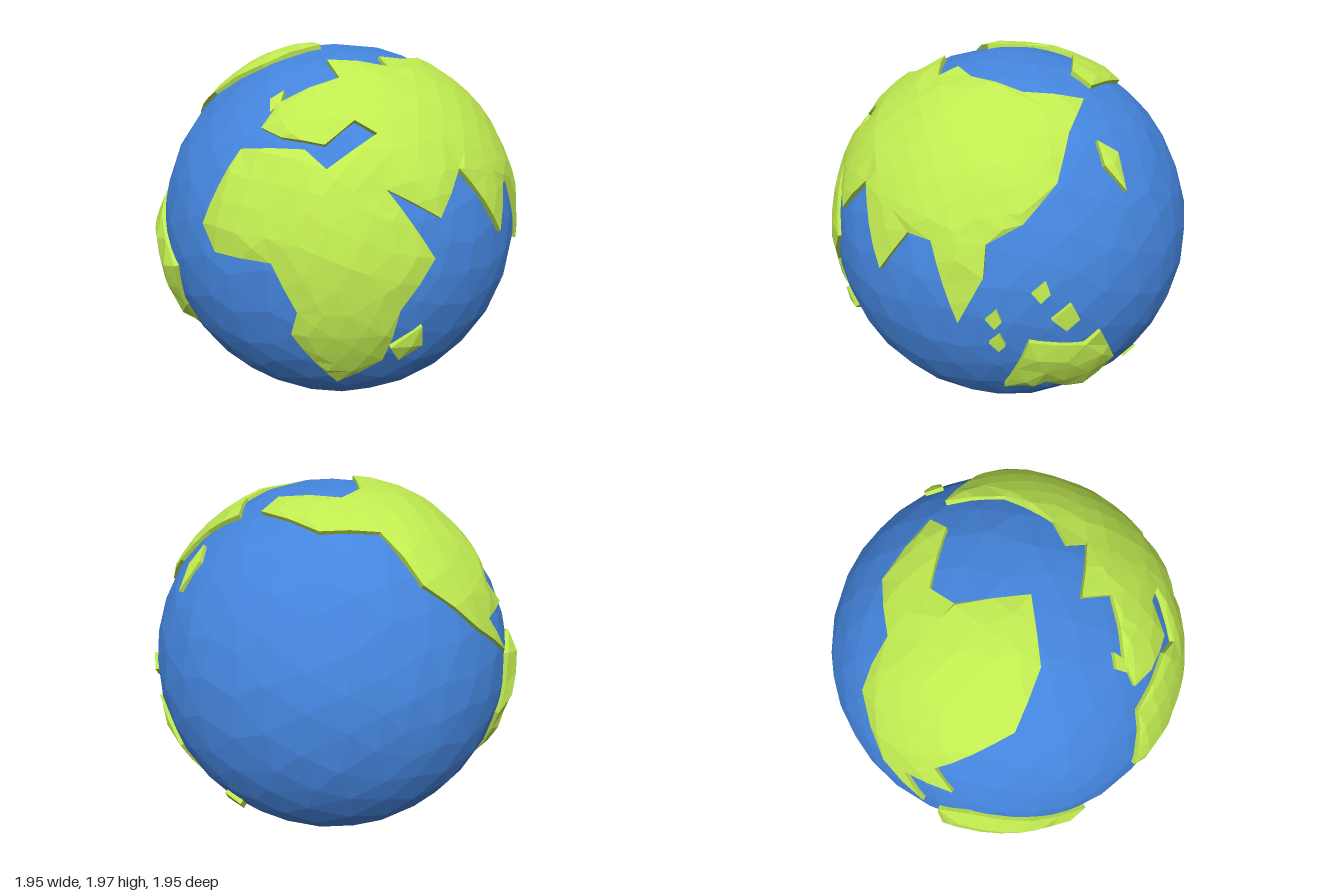
import * as THREE from 'three';

const R = 0.97; // ocean radius
const seaMat = new THREE.MeshStandardMaterial({ color: 0x4484dc, flatShading: true });
const landMat = new THREE.MeshStandardMaterial({ color: 0xc0ea50, flatShading: true });

// Point on the unit globe at u,v (hundredths from its centre) facing a given azimuth and elevation
const facing = (az, el) => (...uv) => {
  const a = THREE.MathUtils.degToRad(az), e = THREE.MathUtils.degToRad(el), points = [];
  for (let i = 0; i < uv.length; i += 2) {
    const u = uv[i] / 100, v = uv[i + 1] / 100;
    const w = Math.sqrt(Math.max(0, R * R - u * u - v * v));
    const d = w * Math.cos(e) - v * Math.sin(e);
    points.push(new THREE.Vector3(u * Math.cos(a) + d * Math.sin(a), v * Math.cos(e) + w * Math.sin(e),
      -u * Math.sin(a) + d * Math.cos(a)).normalize());
  }
  return points;
};
const front = facing(0, 0), east = facing(90, 0), top = facing(0, 90), bottom = facing(0, -90);
const pacific = facing(-140, 25), southEast = facing(140, -25);

// Smooth repeatable bumps in -1..1
const bump = (p) => (Math.sin(p.x * 13 + p.y * 7) + Math.sin(p.y * 17 - p.z * 9) + Math.sin(p.z * 15 + p.x * 11)) / 3;

// Triangle mesh over a coastline: fill, bisect long edges, then flip edges to even out the triangles
function meshLand(points) {
  const mid = new THREE.Vector3();
  points.forEach((p) => mid.add(p));
  const q = new THREE.Quaternion().setFromUnitVectors(mid.normalize(), new THREE.Vector3(0, 0, 1));
  const flat = (p) => {
    const t = p.clone().applyQuaternion(q);
    return new THREE.Vector2(t.x / (1 + t.z), t.y / (1 + t.z));
  };
  if (THREE.ShapeUtils.isClockWise(points.map(flat))) points.reverse();
  const verts = [...points], tris = [], mids = new Map();
  const midpoint = (a, b) => {
    const key = Math.min(a, b) + '_' + Math.max(a, b);
    if (!mids.has(key)) mids.set(key, verts.push(verts[a].clone().add(verts[b]).normalize()) - 1);
    return mids.get(key);
  };
  const refine = (a, b, c) => {
    const ab = verts[a].distanceTo(verts[b]), bc = verts[b].distanceTo(verts[c]), ca = verts[c].distanceTo(verts[a]);
    const longest = Math.max(ab, bc, ca);
    if (longest < 0.19) tris.push([a, b, c]);
    else if (longest === bc) refine(b, c, a);
    else if (longest === ca) refine(c, a, b);
    else {
      const m = midpoint(a, b);
      refine(a, m, c);
      refine(m, b, c);
    }
  };
  THREE.ShapeUtils.triangulateShape(points.map(flat), []).forEach((t) => refine(...t));

  const edgeMap = () => {
    const edges = new Map();
    tris.forEach(([a, b, c], i) => {
      for (const [s, t, o] of [[a, b, c], [b, c, a], [c, a, b]]) edges.set(s + '_' + t, [i, s, t, o]);
    });
    return edges;
  };
  const angle = (o, a, b) => verts[a].clone().sub(verts[o]).angleTo(verts[b].clone().sub(verts[o]));
  for (let pass = 0, changed = true; changed && pass < 60; pass++) {
    changed = false;
    const edges = edgeMap(), used = new Set();
    for (const [i, a, b, c] of edges.values()) {
      const twin = edges.get(b + '_' + a);
      if (!twin || used.has(i) || used.has(twin[0])) continue;
      const d = twin[3];
      if (angle(c, a, b) + angle(d, a, b) < Math.PI + 0.01) continue;
      tris[i] = [a, d, c];
      tris[twin[0]] = [d, b, c];
      used.add(i).add(twin[0]);
      changed = true;
    }
  }
  const edges = edgeMap();
  const rim = [...edges.values()].filter(([, a, b]) => !edges.has(b + '_' + a)).map(([, a, b]) => [a, b]);
  return { verts, tris, rim };
}

// Raised plate of land with walls running down below the water
function land(name, height, ...coast) {
  const { verts, tris, rim } = meshLand(coast.flat());
  const onRim = new Set(rim.flat());
  const upper = verts.map((p, i) => p.clone().multiplyScalar(R + (onRim.has(i) ? 0.02 : height) + 0.006 * bump(p)));
  const base = verts.map((p) => p.clone().multiplyScalar(R - 0.03));
  const corners = tris.flatMap((t) => t.map((i) => upper[i]));
  for (const [a, b] of rim) corners.push(base[a], base[b], upper[b], base[a], upper[b], upper[a]);
  const geo = new THREE.BufferGeometry().setFromPoints(corners);
  geo.computeVertexNormals();
  const mesh = new THREE.Mesh(geo, landMat);
  mesh.name = name;
  return mesh;
}

// Small kite-shaped island
const island = (name, view, u, v, size) =>
  land(name, 0.03, view(u + size * 0.2, v + size, u - size * 0.7, v, u, v - size, u + size * 0.6, v - size * 0.2));

// Faceted ocean ball with slightly uneven triangles
function ocean() {
  const geo = new THREE.IcosahedronGeometry(1, 5);
  const pos = geo.attributes.position, p = new THREE.Vector3();
  for (let i = 0; i < pos.count; i++) {
    p.fromBufferAttribute(pos, i);
    const { x, y, z } = p;
    p.x += 0.025 * Math.sin(y * 23 + z * 17);
    p.y += 0.025 * Math.sin(z * 21 + x * 19);
    p.z += 0.025 * Math.sin(x * 25 + y * 15);
    p.setLength(R + 0.003);
    pos.setXYZ(i, p.x, p.y, p.z);
  }
  geo.computeVertexNormals();
  const mesh = new THREE.Mesh(geo, seaMat);
  mesh.name = 'ocean';
  return mesh;
}

export function createModel() {
  const globe = new THREE.Group();
  globe.name = 'globe';
  globe.add(
    ocean(),
    land('africaEuropeAsia', 0.03,
      front(-4, 56, -17, 23, -8, 12, 21, 12, 32, -10, 28, -22, 40, -54, 61, -39, 70, -10, 80, 12),
      east(-63, 43, -48, 29, -30, 47, -12, 14, 2, 34, 14, 33, 28, -3, 38, 20, 37, 34, 49, 42, 56, 56),
      top(38, 52, 18, 49, 35, 27, 36, 0, 29, -12, 37, -18, 12, -32, 24, -41, 5, -62),
      front(2, 65, 14, 62, 33, 60, 40, 69, 50, 64, 37, 51, 26, 58)),
    land('northAmerica', 0.03,
      top(5, 47, 4, 36, -24, 23, -24, 9, -2, -15, -23, -36, -49, -42),
      front(-80, 51),
      pacific(84, 23, 73, 12, 84, -2, 66, 6, 38, 24, 20, 49),
      top(-30, 47)),
    land('southAmerica', 0.055, front(-92, 14, -85, 21, -69, 11, -44, -7, -47, -33, -53, -76, -69, -60, -92, -19)),
    land('australia', 0.035, southEast(10, 29, 23, 3, 13, -23, -12, -5, -31, -8, -24, 28, 3, 23)),
    land('antarctica', 0.02, bottom(37, 15, 32, -32, 11, -35, -8, 2, -8, 22)),
    island('antarcticIsland', bottom, -15, -8, 10),
    island('newZealand', southEast, 47, -27, 7),
    island('madagascar', east, -58, -31, 10),
    island('britain', top, 3, -61, 5),
    island('japan', top, 30, 70, 8),
    island('sumatra', east, 44, -13, 5),
    island('borneo', east, 43, 0, 5),
    island('philippines', east, 60, 13, 5),
    island('newGuinea', east, 69, -1, 7),
  );
  globe.position.set(-0.01, 0.993, -0.012);
  return globe;
}
